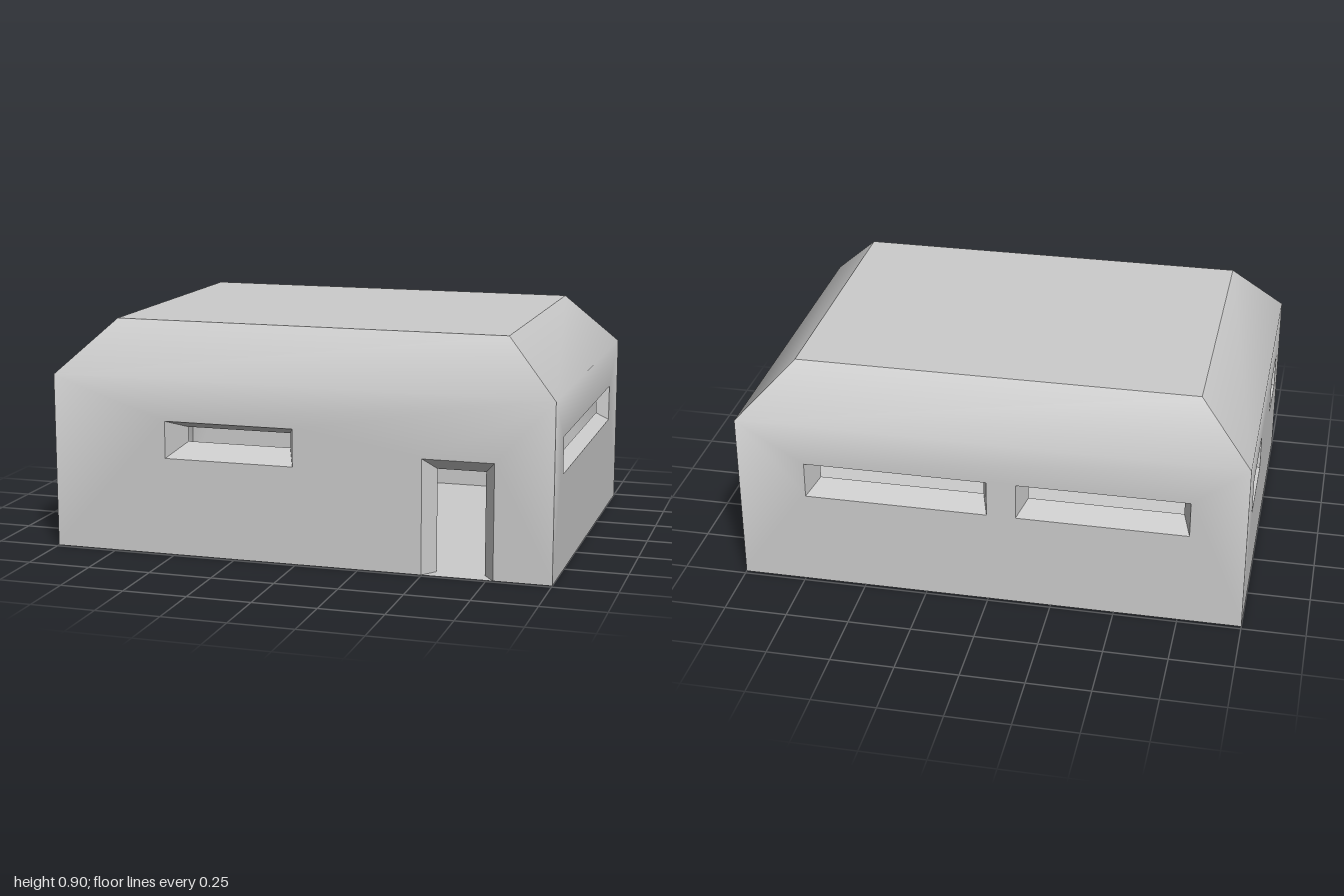
import * as THREE from 'three';
import { mergeGeometries, mergeVertices } from 'three/addons/utils/BufferGeometryUtils.js';

const HALF_X = 1, HALF_Z = 0.735;      // footprint
const EAVE = 0.695, TOP = 0.905;       // wall top and roof height
const ROOF_X = 0.79, ROOF_Z = 0.58;    // flat roof half sizes

const material = new THREE.MeshStandardMaterial({ color: 0xcccccc, side: THREE.DoubleSide });

// geometry from a list of four-cornered faces, corners counter-clockwise
function quads(list) {
  const pos = [];
  for (const [a, b, c, d] of list) pos.push(...a, ...b, ...c, ...a, ...c, ...d);
  const g = new THREE.BufferGeometry();
  g.setAttribute('position', new THREE.Float32BufferAttribute(pos, 3));
  g.computeVertexNormals();
  return g;
}

const corners = ([u0, u1, y0, y1], z) => [[u0, y0, z], [u1, y0, z], [u1, y1, z], [u0, y1, z]];
const toPath = (path, r) => path.setFromPoints(corners(r, 0).map(([x, y]) => new THREE.Vector2(x, y)));

// wall with holes, blending smoothly into the sloped roof edge above it
function wallGeometry(half, roofHalf, inset, windows, door) {
  const outline = [[-half, 0]];
  if (door) {
    const [u0, u1, , y1] = door.outer;
    outline.push([u0, 0], [u0, y1], [u1, y1], [u1, 0]);
  }
  outline.push([half, 0], [half, EAVE], [-half, EAVE]);
  const shape = new THREE.Shape(outline.map(([x, y]) => new THREE.Vector2(x, y)));
  for (const w of windows) shape.holes.push(toPath(new THREE.Path(), w.outer));

  const wall = new THREE.ShapeGeometry(shape).toNonIndexed();
  wall.deleteAttribute('uv');
  const slope = quads([[[-half, EAVE, 0], [half, EAVE, 0], [roofHalf, TOP, -inset], [-roofHalf, TOP, -inset]]]);
  const merged = mergeGeometries([wall, slope]);
  merged.deleteAttribute('normal');
  const g = mergeVertices(merged);
  g.computeVertexNormals();
  return g;
}

// funnel-shaped reveal narrowing inwards from an opening
function revealGeometry({ outer, inner, depth }, openBottom) {
  const o = corners(outer, 0), n = corners(inner, -depth);
  const faces = [];
  for (let i = openBottom ? 1 : 0; i < 4; i++) {
    const j = (i + 1) % 4;
    faces.push([o[i], o[j], n[j], n[i]]);
  }
  return quads(faces);
}

function addMesh(parent, name, geometry) {
  const mesh = new THREE.Mesh(geometry, material);
  mesh.name = name;
  parent.add(mesh);
  return mesh;
}

export function createModel() {
  const model = new THREE.Group();
  model.name = 'bunker';

  // openings are [uMin, uMax, yMin, yMax], u runs rightwards seen from outside
  const sides = [
    {
      name: 'front', angle: 0,
      windows: [{ outer: [-0.535, -0.013, 0.385, 0.533], inner: [-0.487, -0.064, 0.43, 0.488], depth: 0.13 }],
      door: { outer: [0.497, 0.775, 0, 0.45], inner: [0.543, 0.73, 0, 0.402], depth: 0.063 },
    },
    {
      name: 'left', angle: Math.PI / 2,
      windows: [{ outer: [-0.556, 0.519, 0.385, 0.53], inner: [-0.52, 0.485, 0.418, 0.5], depth: 0.05 }],
    },
    {
      name: 'back', angle: Math.PI,
      windows: [
        { outer: [-0.73, -0.004, 0.385, 0.53], inner: [-0.695, -0.036, 0.42, 0.497], depth: 0.1 },
        { outer: [0.11, 0.783, 0.385, 0.53], inner: [0.142, 0.75, 0.42, 0.497], depth: 0.1 },
      ],
    },
    {
      name: 'right', angle: -Math.PI / 2,
      windows: [
        { outer: [-0.519, -0.168, 0.385, 0.53], inner: [-0.471, -0.214, 0.432, 0.489], depth: 0.1 },
        { outer: [0.311, 0.556, 0.385, 0.53], inner: [0.358, 0.513, 0.432, 0.489], depth: 0.1 },
      ],
    },
  ];

  sides.forEach(({ name, angle, windows, door }, i) => {
    const long = i % 2 === 0;
    const half = long ? HALF_X : HALF_Z, roofHalf = long ? ROOF_X : ROOF_Z;
    const distance = long ? HALF_Z : HALF_X;
    const inset = distance - (long ? ROOF_Z : ROOF_X);

    const side = new THREE.Group();
    side.name = name + 'Side';
    side.rotation.y = angle;
    side.position.set(Math.sin(angle) * distance, 0, Math.cos(angle) * distance);

    addMesh(side, name + 'Wall', wallGeometry(half, roofHalf, inset, windows, door));
    for (const w of windows) addMesh(side, name + 'WindowReveal', revealGeometry(w, false));
    if (door) addMesh(side, 'doorReveal', revealGeometry(door, true));
    model.add(side);
  });

  // flat roof and floor slab
  const roof = addMesh(model, 'roof', new THREE.PlaneGeometry(2 * ROOF_X, 2 * ROOF_Z));
  roof.rotation.x = -Math.PI / 2;
  roof.position.y = TOP;
  const floor = addMesh(model, 'floor', new THREE.PlaneGeometry(2 * HALF_X, 2 * HALF_Z));
  floor.rotation.x = Math.PI / 2;

  return model;
}
